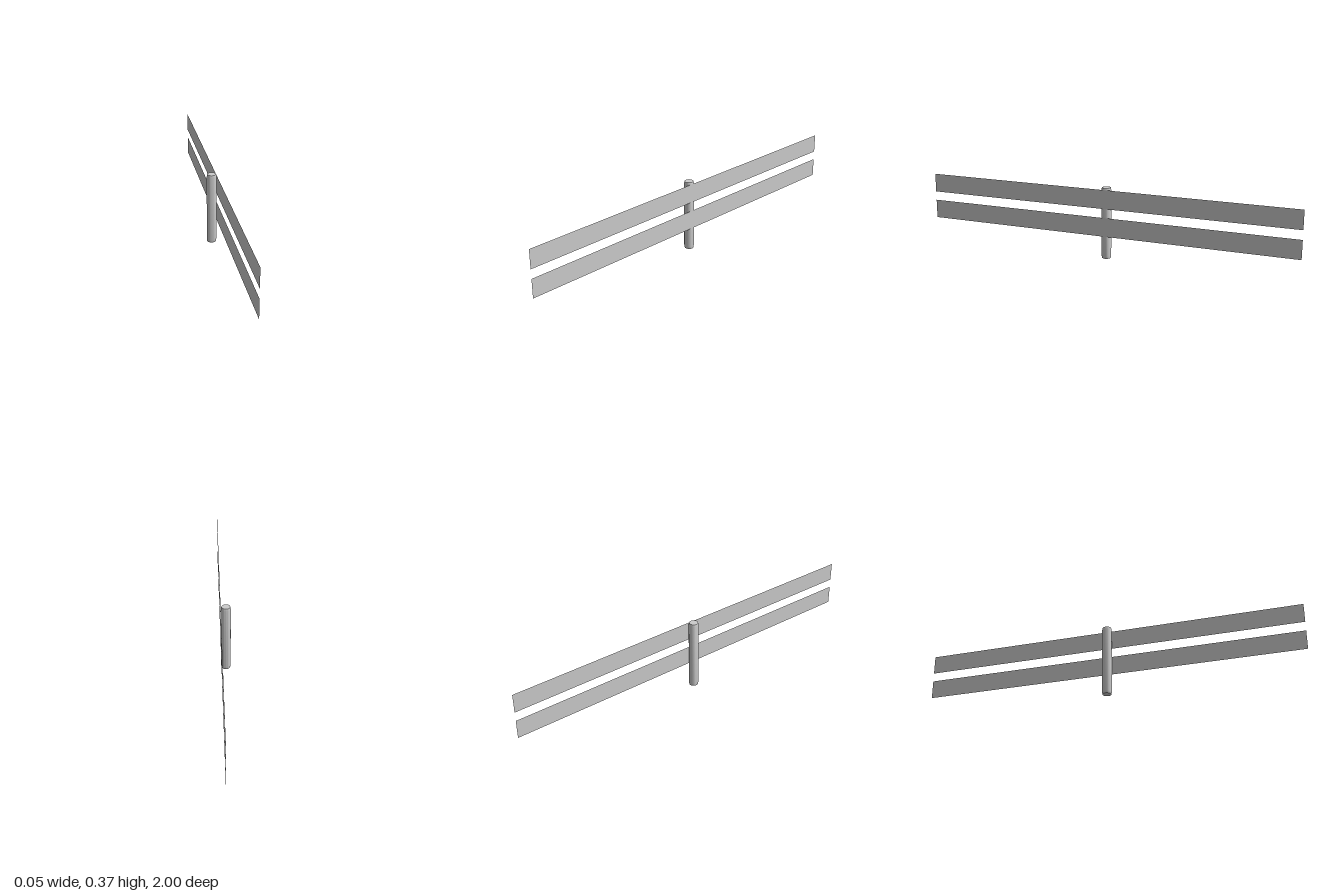
import * as THREE from 'three';
import { toCreasedNormals } from 'three/addons/utils/BufferGeometryUtils.js';

export function createModel() {
  const group = new THREE.Group();
  const material = new THREE.MeshStandardMaterial({ color: 0xcccccc });
  const railMaterial = new THREE.MeshStandardMaterial({ color: 0xcccccc, side: THREE.DoubleSide });

  // Round post with bevelled ends
  const profile = [
    [0, 0], [0.0225, 0], [0.0235, 0.004], [0.0248, 0.014],
    [0.0248, 0.356], [0.0235, 0.366], [0.0225, 0.37], [0, 0.37],
  ].map(([r, y]) => new THREE.Vector2(r, y));
  const post = new THREE.Mesh(toCreasedNormals(new THREE.LatheGeometry(profile, 16), 0.6), material);
  post.name = 'post';
  post.position.x = -0.001;
  group.add(post);

  // Two thin boards running along z on the post's left face
  for (const [name, y] of [['upperRail', 0.312], ['lowerRail', 0.167]]) {
    const rail = new THREE.Mesh(new THREE.PlaneGeometry(2, 0.098), railMaterial);
    rail.name = name;
    rail.rotation.y = Math.PI / 2;
    rail.position.set(0.025, y, 0);
    group.add(rail);
  }
  return group;
}
